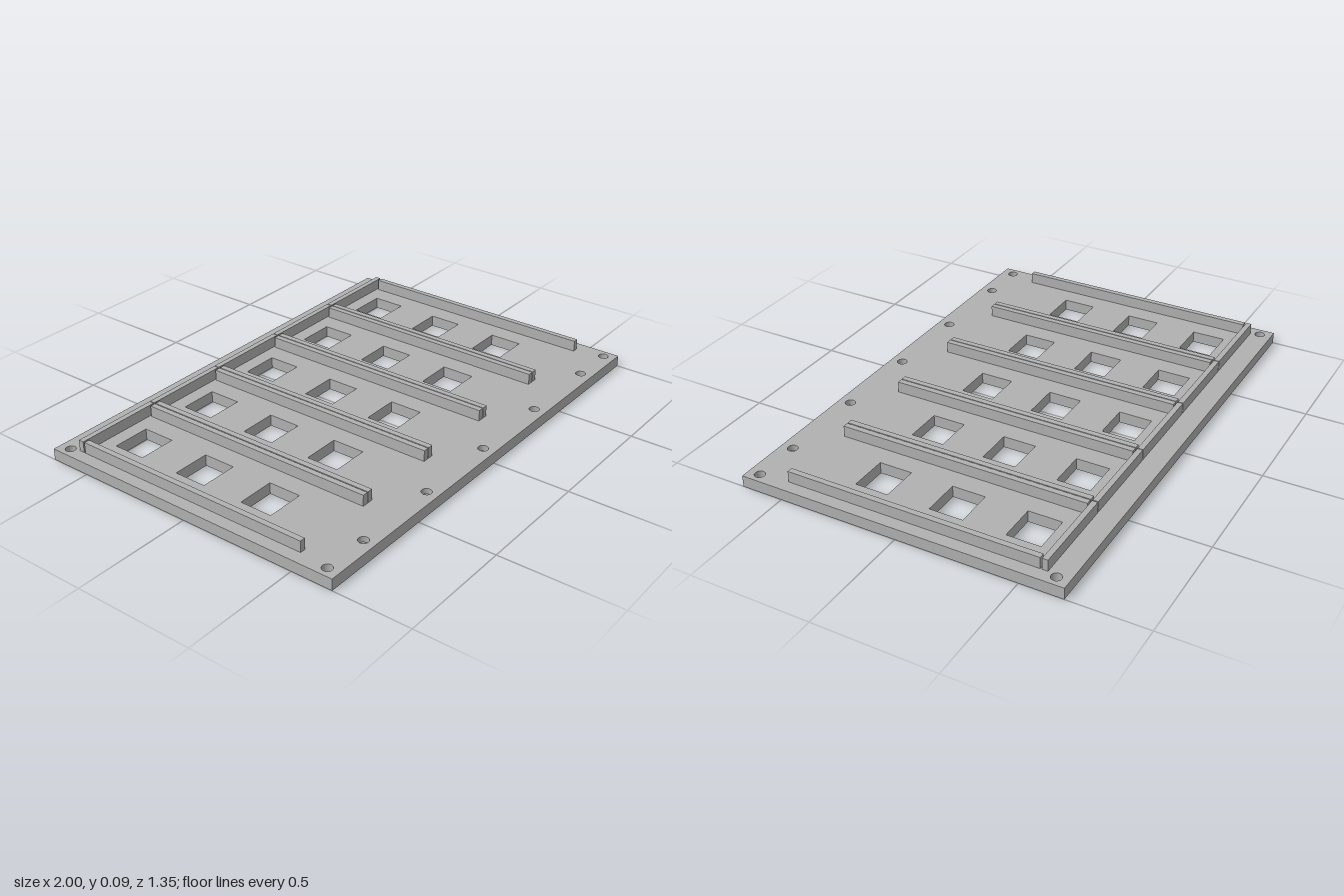
import * as THREE from 'three';

const HALF_X = 1, HALF_Z = 0.676, PLATE = 0.048, POCKET = 0.024;
const RAIL_TOP = 0.095, RAIL = 0.024, BAY_HALF = 0.188;
const bays = [-0.76, -0.38, 0, 0.38, 0.76];
const windowRows = [-0.432, -0.115, 0.205];

// Polygonal hole; z is the model's depth axis
function polygonHole(x, z, radius, sides) {
  const points = [];
  for (let i = 0; i < sides; i++) {
    const a = (i / sides) * Math.PI * 2;
    points.push(new THREE.Vector2(x + radius * Math.cos(a), -z + radius * Math.sin(a)));
  }
  return new THREE.Path(points);
}

function rectPoints(x, z, hx, hz) {
  return [[-1, -1], [1, -1], [1, 1], [-1, 1]].map(
    ([sx, sz]) => new THREE.Vector2(x + sx * hx, -z + sz * hz));
}

// One layer of the base plate, with windows and screw holes
function plateLayer(height, hexPockets) {
  const shape = new THREE.Shape(rectPoints(0, 0, HALF_X, HALF_Z));
  for (const x of bays) {
    for (const z of windowRows) {
      shape.holes.push(new THREE.Path(rectPoints(x, z, 0.08, 0.07)));
    }
    shape.holes.push(hexPockets
      ? polygonHole(x, 0.625, 0.036, 6)
      : polygonHole(x, 0.625, 0.021, 24));
  }
  for (const x of [-0.96, 0.96]) {
    for (const z of [-0.625, 0.625]) shape.holes.push(polygonHole(x, z, 0.021, 24));
  }
  const geometry = new THREE.ExtrudeGeometry(shape, { depth: height, bevelEnabled: false });
  return geometry.rotateX(-Math.PI / 2);
}

export function createModel() {
  const model = new THREE.Group();
  model.name = 'slottedTray';
  const grey = new THREE.MeshStandardMaterial({ color: 0xb0b0b0 });
  grey.name = 'plainGrey';

  const add = (name, geometry, parent, x, y, z) => {
    const mesh = new THREE.Mesh(geometry, grey);
    mesh.name = name;
    mesh.position.set(x, y, z);
    parent.add(mesh);
  };

  // Base plate: the lower layer has nut pockets under the front screw holes
  add('plateBottom', plateLayer(POCKET, true), model, 0, 0, 0);
  add('plateTop', plateLayer(PLATE - POCKET, false), model, 0, POCKET, 0);

  // Each bay has two side rails and a separate back stop
  const height = RAIL_TOP - PLATE, y = PLATE + height / 2;
  const zFront = 0.5, zBack = -0.556;
  const railGeometry = new THREE.BoxGeometry(RAIL, height, zFront - zBack);
  const stopGeometry = new THREE.BoxGeometry(BAY_HALF * 2, height, 0.023);
  bays.forEach((x, i) => {
    const bay = new THREE.Group();
    bay.name = `bay${i + 1}`;
    bay.position.x = x;
    model.add(bay);
    const offset = BAY_HALF - RAIL / 2;
    add('rightRail', railGeometry, bay, -offset, y, (zFront + zBack) / 2);
    add('leftRail', railGeometry, bay, offset, y, (zFront + zBack) / 2);
    add('backStop', stopGeometry, bay, 0, y, -0.5745);
  });

  return model;
}
